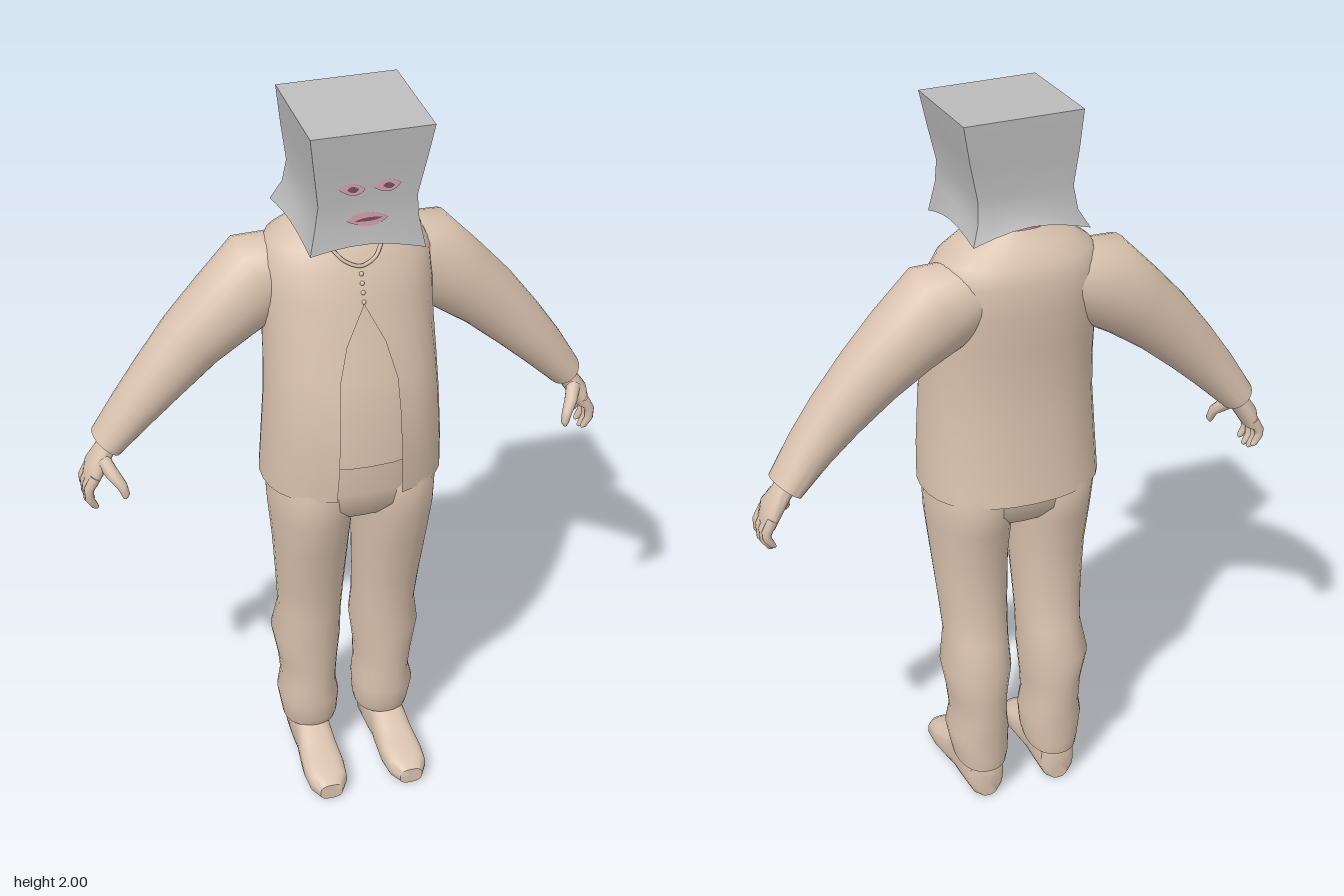
import * as THREE from 'three';
import { toCreasedNormals } from 'three/addons/utils/BufferGeometryUtils.js';

const V = (x, y, z) => new THREE.Vector3(x, y, z);
const X = V(1, 0, 0), Y = V(0, 1, 0), BACK = V(0, 0, -1);

// One superellipse ring: c + u*ru*cos + v*rv*sin; "gap" leaves an opening at -v
function ring(c, u, v, ru, rv, n = 2, gap = -1, count = 28) {
  const open = gap >= 0, g = open ? Math.asin(Math.pow(gap / ru, n / 2)) : 0;
  const f = (t) => Math.sign(t) * Math.pow(Math.abs(t), 2 / n);
  return Array.from({ length: open ? count + 1 : count }, (_, i) => {
    const a = -Math.PI / 2 + g + (i / count) * (2 * Math.PI - 2 * g);
    return c.clone().addScaledVector(u, ru * f(Math.cos(a))).addScaledVector(v, rv * f(Math.sin(a)));
  });
}

// Skin a list of rings; optional caps and opening
function loft(rings, { start = true, end = true, open = false, crease = 0.9 } = {}) {
  const pos = [], idx = [], m = rings[0].length;
  rings.flat().forEach((p) => pos.push(p.x, p.y, p.z));
  for (let i = 0; i < rings.length - 1; i++) {
    for (let j = 0; j < (open ? m - 1 : m); j++) {
      const k = (j + 1) % m, a = i * m + j, b = i * m + k;
      idx.push(a, b, a + m, b, b + m, a + m);
    }
  }
  const cap = (r, flip) => {
    const c = rings[r].reduce((s, p) => s.add(p), V(0, 0, 0)).divideScalar(m);
    const ci = pos.length / 3;
    pos.push(c.x, c.y, c.z);
    for (let j = 0; j < m; j++) {
      const a = r * m + j, b = r * m + ((j + 1) % m);
      idx.push(ci, flip ? b : a, flip ? a : b);
    }
  };
  if (start) cap(0, true);
  if (end) cap(rings.length - 1, false);
  const g = new THREE.BufferGeometry();
  g.setAttribute('position', new THREE.Float32BufferAttribute(pos, 3));
  g.setIndex(idx);
  g.computeVertexNormals();
  return toCreasedNormals(g, crease);
}

// Level rings from [y, xMin, xMax, zFront, zBack, gap, tilt]
const levels = (rows, n) => rows.map(([y, x0, x1, zf, zb, gap = -1, tilt = 0]) => {
  const r = ring(V((x0 + x1) / 2, y, (zf + zb) / 2), X, BACK, (x1 - x0) / 2, (zf - zb) / 2, n, gap);
  r.forEach((p) => { p.y += tilt * (p.z - (zf + zb) / 2); });
  return r;
});

// Tube of changing size through [x, y, z, radius, zRadius]
function sweep(rows, count = 20) {
  const pts = rows.map((r) => V(r[0], r[1], r[2]));
  return loft(rows.map((r, i) => {
    const d = pts[Math.min(i + 1, pts.length - 1)].clone().sub(pts[Math.max(i - 1, 0)]).normalize();
    const u = BACK.clone().cross(d).normalize(), v = d.clone().cross(u);
    return ring(pts[i], u, v, r[3], r[4] ?? r[3], 2, -1, count);
  }));
}

// Copy across x = 0 with the corner order reversed
function mirrored(geo) {
  const g = geo.clone().scale(-1, 1, 1);
  for (const name of ['position', 'normal']) {
    const a = g.attributes[name], p = V(), q = V();
    for (let i = 0; i < a.count; i += 3) {
      p.fromBufferAttribute(a, i + 1); q.fromBufferAttribute(a, i + 2);
      a.setXYZ(i + 1, q.x, q.y, q.z); a.setXYZ(i + 2, p.x, p.y, p.z);
    }
  }
  g.computeVertexNormals();
  return toCreasedNormals(g, 0.9);
}

export function createModel() {
  const model = new THREE.Group();
  const mat = (name, color) => {
    const m = new THREE.MeshStandardMaterial({ color, side: THREE.DoubleSide });
    m.name = name;
    return m;
  };
  const tan = mat('tan', 0xd9c2ae), grey = mat('paperGrey', 0xbcbcbc);
  const pink = mat('pinkSkin', 0xd9a0b0), dark = mat('darkMauve', 0x6e5560);
  const add = (name, geo, m) => {
    const mesh = new THREE.Mesh(geo, m);
    mesh.name = name;
    model.add(mesh);
  };
  const pair = (name, geo, m) => {
    add('left' + name, geo, m);
    add('right' + name, mirrored(geo), m);
  };

  // Jacket, open at the lower front, over a shirt
  const torso = [
    [0.96, 0.24, 0.185, -0.2, 0.088], [1.06, 0.236, 0.195, -0.19, 0.084],
    [1.2, 0.228, 0.192, -0.18, 0.08], [1.3, 0.224, 0.172, -0.18, 0.076],
    [1.4, 0.222, 0.145, -0.188, 0.05], [1.5, 0.225, 0.122, -0.2, 0.0],
    [1.58, 0.222, 0.095, -0.2, 0.0], [1.63, 0.2, 0.07, -0.187, 0.0],
    [1.665, 0.15, 0.05, -0.155, 0.0], [1.69, 0.085, 0.03, -0.125, 0.0, -0.15],
  ];
  add('jacket', loft(levels(torso.map(([y, w, f, b, g, t]) => [y, -w, w, f, b, g, t]), 2.3),
    { start: false, end: false, open: true }), tan);
  add('shirt', loft(levels(torso.slice(1, 6).map(([y, w, f, b]) =>
    [y, -w + 0.012, w - 0.012, f - 0.01, b + 0.012]), 2.3)), tan);

  // Collar edge and small buttons
  const collar = new THREE.CatmullRomCurve3([
    V(-0.065, 1.635, 0.068), V(-0.04, 1.61, 0.085), V(0, 1.595, 0.094), V(0.04, 1.61, 0.085), V(0.06, 1.635, 0.068)]);
  add('collar', new THREE.TubeGeometry(collar, 16, 0.005, 6), tan);
  for (let i = 0; i < 4; i++) {
    const b = new THREE.SphereGeometry(0.006, 10, 8);
    add('button', b.translate(0, 1.575 - i * 0.023, 0.098 + i * 0.007), tan);
  }

  // Trousers
  add('hips', loft(levels([
    [0.835, -0.09, 0.09, 0.06, -0.07], [0.87, -0.17, 0.17, 0.12, -0.13],
    [0.91, -0.215, 0.215, 0.155, -0.165], [0.97, -0.224, 0.224, 0.17, -0.182],
    [1.1, -0.21, 0.21, 0.17, -0.165]], 2.3)), tan);
  pair('TrouserLeg', loft(levels([
    [0.108, 0.036, 0.175, 0.03, -0.15, -1, 0.15], [0.135, 0.03, 0.18, 0.04, -0.155, -1, 0.1],
    [0.2, 0.025, 0.192, 0.045, -0.152], [0.25, 0.034, 0.18, 0.046, -0.162],
    [0.32, 0.03, 0.188, 0.05, -0.158], [0.41, 0.02, 0.205, 0.057, -0.17],
    [0.5, 0.022, 0.19, 0.065, -0.145], [0.6, 0.018, 0.198, 0.08, -0.13],
    [0.75, 0.012, 0.21, 0.122, -0.135], [0.86, 0.005, 0.22, 0.152, -0.158],
    [0.96, 0, 0.224, 0.165, -0.18], [1.05, 0.02, 0.2, 0.14, -0.15]], 2.2)), tan);

  // Shoes: sections [z, height, halfWidth] from heel to toe
  pair('Shoe', loft([
    [-0.135, 0.1, 0.03], [-0.122, 0.13, 0.048], [-0.04, 0.15, 0.052], [0.01, 0.135, 0.05],
    [0.06, 0.1, 0.054], [0.12, 0.08, 0.058], [0.175, 0.066, 0.053], [0.207, 0.045, 0.032],
  ].map(([z, h, w]) => ring(V(0.11 + z * 0.03, h / 2, z), X, Y, w, h / 2, 2.8))), tan);

  // Sleeves
  pair('Sleeve', sweep([
    [0.13, 1.54, -0.085, 0.09, 0.09], [0.22, 1.515, -0.085, 0.122, 0.108],
    [0.31, 1.44, -0.08, 0.104, 0.1], [0.4, 1.36, -0.08, 0.09, 0.086],
    [0.49, 1.265, -0.076, 0.075, 0.076], [0.56, 1.185, -0.078, 0.062, 0.068],
    [0.632, 1.095, -0.085, 0.046, 0.062]], 28), tan);

  // Hands with curled fingers
  pair('Palm', sweep([
    [0.61, 1.12, -0.08, 0.028, 0.034], [0.64, 1.075, -0.078, 0.026, 0.036],
    [0.667, 1.035, -0.074, 0.027, 0.05], [0.682, 0.995, -0.074, 0.018, 0.048]]), tan);
  [[-0.112, 0.945], [-0.087, 0.928], [-0.06, 0.922], [-0.035, 0.932]].forEach(([z, y]) =>
    pair('Finger', sweep([
      [0.676, 1.02, z, 0.013], [0.694, 0.985, z, 0.0135], [0.694, y + 0.025, z, 0.0115],
      [0.68, y + 0.002, z, 0.009], [0.673, y - 0.004, z, 0.004]], 10), tan));
  pair('Thumb', sweep([
    [0.65, 1.06, -0.05, 0.02], [0.632, 1.03, -0.02, 0.018], [0.613, 1.005, 0.002, 0.014],
    [0.606, 0.98, 0.008, 0.011], [0.608, 0.97, 0.008, 0.005]], 10), tan);

  // Neck and covered head
  add('neck', new THREE.CylinderGeometry(0.066, 0.075, 0.2, 24).translate(0, 1.7, -0.035), pink);
  add('head', new THREE.SphereGeometry(1, 28, 20).scale(0.1, 0.13, 0.11).translate(0, 1.83, 0), pink);

  // Paper bag: four corners per level [x, y, z], edges lifted at the hem
  const box = (y, x0, x1, zf, zb, back = y) =>
    [[x1, y, zf], [x1, back, zb], [x0, back, zb], [x0, y, zf]];
  const bagLevels = [
    [[0.145, 1.66, 0.163], [0.152, 1.695, -0.165], [-0.165, 1.69, -0.15], [-0.15, 1.675, 0.163]],
    box(1.74, -0.135, 0.13, 0.152, -0.14), box(1.8, -0.126, 0.126, 0.15, -0.13),
    box(1.9, -0.138, 0.148, 0.158, -0.137), box(1.985, -0.148, 0.165, 0.165, -0.14, 2),
  ];
  const lift = [0.025, 0.03, 0.02, 0.022], side = 6;
  add('paperBag', loft(bagLevels.map((corners, level) => corners.flatMap((c, k) =>
    Array.from({ length: side }, (_, i) => {
      const p = V(...c).lerp(V(...corners[(k + 1) % 4]), i / side);
      if (level === 0) p.y += lift[k] * Math.sin((Math.PI * i) / side);
      return p;
    }))), { start: false, crease: 0.8 }), grey);

  // Eye and mouth openings laid on the bag front
  const plate = (name, x, y, w, h, slant, off, m) => {
    const s = new THREE.Shape();
    s.moveTo(-w, -slant);
    s.quadraticCurveTo(-w * 0.3, h * 1.9, w, slant);
    s.quadraticCurveTo(w * 0.3, -h * 1.9, -w, -slant);
    const g = new THREE.ShapeGeometry(s, 10).translate(x, y, 0), p = g.attributes.position;
    for (let i = 0; i < p.count; i++) {
      const py = p.getY(i);
      p.setZ(i, 0.15 + off + (py > 1.8 ? (py - 1.8) * 0.08 : (1.8 - py) * 0.034));
    }
    add(name, g, m);
  };
  for (const [x, s] of [[-0.042, -1], [0.048, 1]]) {
    plate('eyeOpening', x, 1.838, 0.034, 0.018, 0.003 * s, 0.003, pink);
    plate('eye', x + 0.002, 1.838, 0.015, 0.009, 0, 0.005, dark);
  }
  plate('mouthOpening', -0.003, 1.754, 0.053, 0.02, 0, 0.003, pink);
  plate('lipLine', 0, 1.754, 0.036, 0.005, 0.002, 0.005, dark);

  return model;
}
